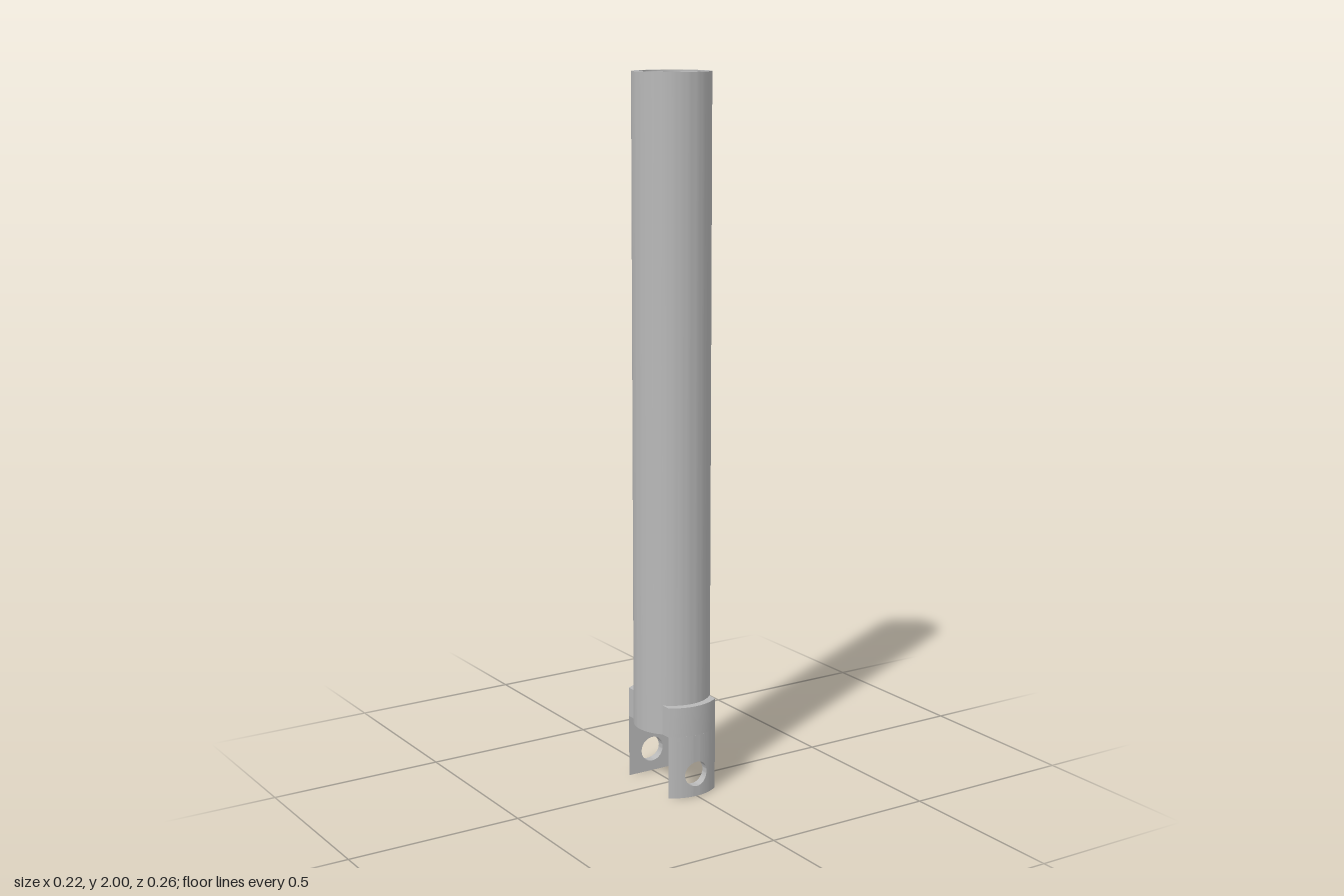
import * as THREE from 'three';
import { toCreasedNormals } from 'three/addons/utils/BufferGeometryUtils.js';

const TUBE_R = 0.108, BORE_R = 0.087, LUG_R = 0.13;
const TUBE_BOTTOM = 0.18, TOP = 2, LUG_TOP = 0.265, HALF_W = 0.078;
const HOLE_Y = 0.065, HOLE_R = 0.036;

const arc = (r, x) => Math.sqrt(Math.max(0, r * r - x * x));

// Curved plate between y0 and y1: round front, back given by backZ(x),
// with an optional round hole through it along z.
function plate(y0, y1, backZ, holeR = 0) {
  const xs = [];
  const yc = holeR ? HOLE_Y : (y0 + y1) / 2;
  for (let i = 0; i < 6; i++) xs.push(-HALF_W + (HALF_W - holeR) * i / 6);
  if (holeR) for (let i = 0; i <= 24; i++) xs.push(-holeR * Math.cos(Math.PI * i / 24));
  else xs.push(0);
  for (let i = 1; i <= 6; i++) xs.push(holeR + (HALF_W - holeR) * i / 6);

  const pos = [];
  const quad = (a, b, c, d) => pos.push(...a, ...b, ...c, ...a, ...c, ...d);
  const F = (x, y) => [x, y, arc(LUG_R, x)];
  const B = (x, y) => [x, y, Math.min(backZ(x), arc(LUG_R, x))];

  for (let i = 0; i < xs.length - 1; i++) {
    const a = xs[i], b = xs[i + 1];
    const ha = arc(holeR, a), hb = arc(holeR, b);
    // strips below and above the hole
    for (const [la, lb, ua, ub] of [[y0, y0, yc - ha, yc - hb], [yc + ha, yc + hb, y1, y1]]) {
      quad(F(a, la), F(b, lb), F(b, ub), F(a, ua));
      quad(B(b, lb), B(a, la), B(a, ua), B(b, ub));
    }
    // top and bottom edges
    quad(F(a, y1), F(b, y1), B(b, y1), B(a, y1));
    quad(B(a, y0), B(b, y0), F(b, y0), F(a, y0));
    // hole wall
    if (ha + hb > 1e-6) {
      quad(F(a, yc - ha), F(b, yc - hb), B(b, yc - hb), B(a, yc - ha));
      quad(B(a, yc + ha), B(b, yc + hb), F(b, yc + hb), F(a, yc + ha));
    }
  }
  // side edges
  const w = HALF_W;
  quad(F(w, y0), B(w, y0), B(w, y1), F(w, y1));
  quad(B(-w, y0), F(-w, y0), F(-w, y1), B(-w, y1));

  const g = new THREE.BufferGeometry();
  g.setAttribute('position', new THREE.Float32BufferAttribute(pos, 3));
  return toCreasedNormals(g, 0.5);
}

export function createModel() {
  const model = new THREE.Group();
  model.name = 'forkedTube';
  const steel = new THREE.MeshStandardMaterial({ color: 0xb8b8b8 });
  steel.name = 'grey steel';

  // Hollow tube
  const profile = [
    [BORE_R, TUBE_BOTTOM], [TUBE_R, TUBE_BOTTOM], [TUBE_R, TOP], [BORE_R, TOP], [BORE_R, TUBE_BOTTOM],
  ].map(([r, y]) => new THREE.Vector2(r, y));
  const tube = new THREE.Mesh(toCreasedNormals(new THREE.LatheGeometry(profile, 96), 0.5), steel);
  tube.name = 'tube';
  model.add(tube);

  // Lugs: a saddle hugging the tube, and a flat-backed ear with a pin hole
  const saddle = plate(TUBE_BOTTOM, LUG_TOP, (x) => arc(TUBE_R - 0.001, x));
  const ear = plate(0, TUBE_BOTTOM, () => arc(LUG_R, HALF_W), HOLE_R);
  for (const [name, turn] of [['frontLug', 0], ['backLug', Math.PI]]) {
    const lug = new THREE.Group();
    lug.name = name;
    for (const [part, geometry] of [['saddle', saddle], ['ear', ear]]) {
      const mesh = new THREE.Mesh(geometry, steel);
      mesh.name = part;
      lug.add(mesh);
    }
    lug.rotation.y = turn;
    model.add(lug);
  }
  return model;
}
